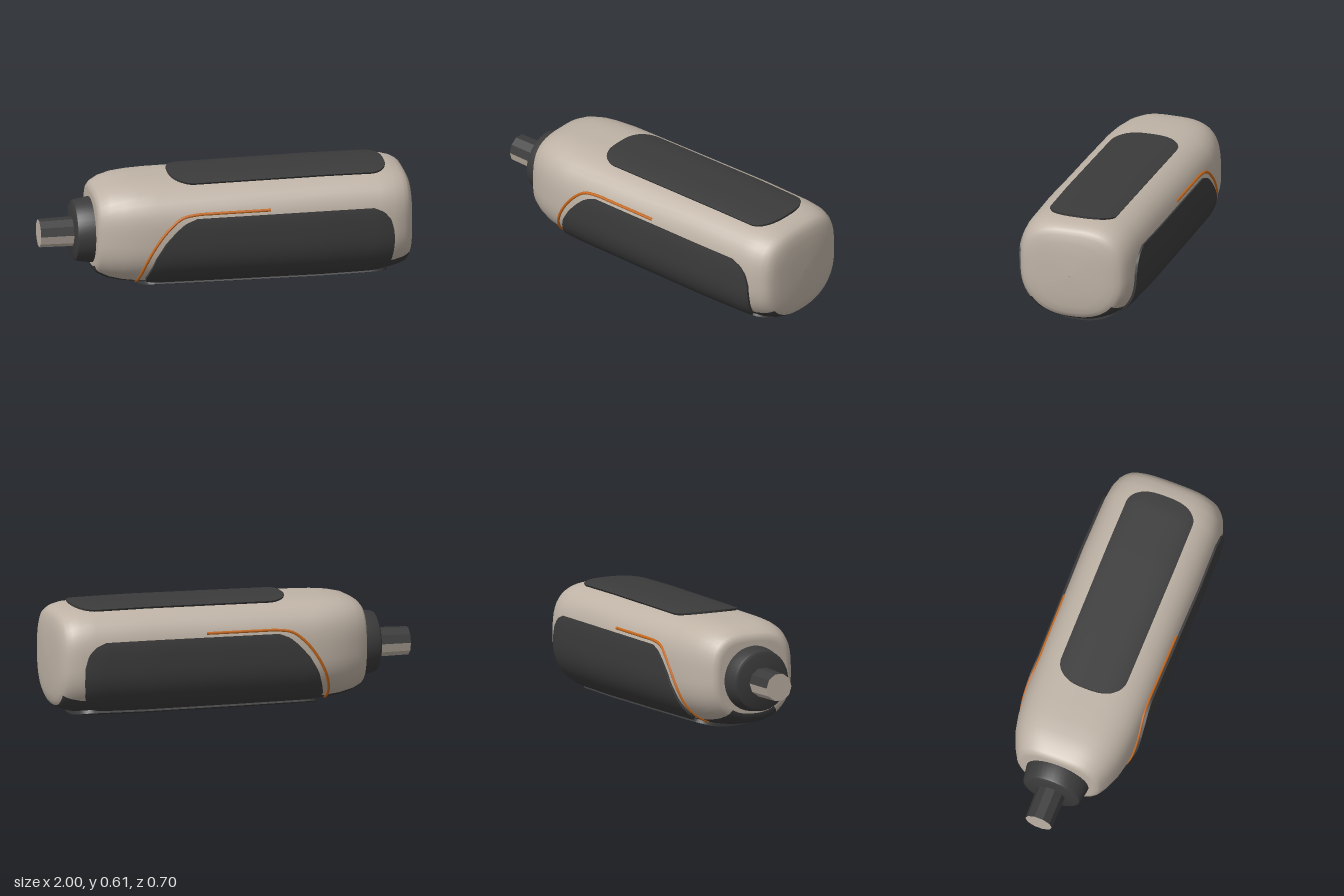
import * as THREE from 'three';
import { toCreasedNormals } from 'three/addons/utils/BufferGeometryUtils.js';

const CY = 0.31; // height of the long axis

// Body sections: x, half width, height above the axis, depth below it
const SECTIONS = [
  [-0.721, 0.001, 0.001, 0.001], [-0.72, 0.2, 0.2, 0.19], [-0.715, 0.222, 0.225, 0.212],
  [-0.7, 0.24, 0.242, 0.228], [-0.65, 0.268, 0.267, 0.252], [-0.58, 0.296, 0.281, 0.267],
  [-0.5, 0.313, 0.287, 0.276], [-0.4, 0.325, 0.289, 0.281], [0, 0.33, 0.292, 0.285],
  [0.5, 0.336, 0.295, 0.288], [0.8, 0.33, 0.292, 0.285], [0.88, 0.32, 0.287, 0.279],
  [0.93, 0.303, 0.275, 0.267], [0.955, 0.286, 0.262, 0.256], [0.97, 0.27, 0.25, 0.245],
  [0.983, 0.24, 0.225, 0.22], [0.992, 0.19, 0.18, 0.18], [0.998, 0.11, 0.11, 0.11],
  [1, 0.001, 0.001, 0.001],
];
const DARK_END = 14; // last section of the dark underside

// Linear lookup in rows whose first entry is the key
function lookup(table, k, col) {
  let i = 0;
  while (i < table.length - 2 && k > table[i + 1][0]) i++;
  const [p, q] = [table[i], table[i + 1]];
  const f = THREE.MathUtils.clamp((k - p[0]) / (q[0] - p[0]), 0, 1);
  return p[col] + (q[col] - p[col]) * f;
}

// Squarish section: phi = 0 is up, PI / 2 is +z
function sectionPoint(x, a, top, bottom, phi, offset) {
  const c = Math.cos(phi), s = Math.sin(phi);
  const n = c > 0 ? 3.2 : 2.4, b = c > 0 ? top : bottom;
  const r = Math.pow(Math.abs(c / b) ** n + Math.abs(s / a) ** n, -1 / n) + offset;
  return new THREE.Vector3(x, CY + r * c, r * s);
}
const surface = (x, phi, offset) => sectionPoint(
  x, lookup(SECTIONS, x, 1), lookup(SECTIONS, x, 2), lookup(SECTIONS, x, 3), phi, offset);

function indexed(points, index) {
  const g = new THREE.BufferGeometry().setFromPoints(points);
  g.setIndex(index);
  g.computeVertexNormals();
  return g;
}

// Housing: lofted shell, with the underside sector in a second material group
function bodyGeometry() {
  const UP = 48, N = 72, points = [], light = [], dark = [];
  SECTIONS.forEach(([x, a, t, b]) => {
    const edge = THREE.MathUtils.lerp(2.48, 2.19, THREE.MathUtils.smoothstep(x, -0.4, 0.7));
    for (let j = 0; j < N; j++) {
      const phi = j <= UP ? -edge + 2 * edge * j / UP
        : edge + (2 * Math.PI - 2 * edge) * (j - UP) / (N - UP);
      points.push(sectionPoint(x, a, t, b, phi, 0));
    }
  });
  for (let i = 0; i < SECTIONS.length - 1; i++) {
    for (let j = 0; j < N; j++) {
      const k = (j + 1) % N, p = i * N, q = p + N;
      const list = j >= UP && i > 0 && i < DARK_END ? dark : light;
      list.push(p + j, p + k, q + j, p + k, q + k, q + j);
    }
  }
  const g = indexed(points, [...light, ...dark]);
  g.addGroup(0, light.length, 0);
  g.addGroup(light.length, dark.length, 1);
  return g;
}

// Raised pad following the body, with its rim turned down into the shell
function padGeometry(phi0, phi1, xStart, xEnd, offset) {
  const NU = 32, NV = 30, W = NU + 3, points = [], index = [];
  for (let j = -1; j <= NV + 1; j++) {
    const v = THREE.MathUtils.clamp(j / NV, 0, 1);
    const t = (1 - Math.cos(Math.PI * v)) / 2;
    for (let i = -1; i <= NU + 1; i++) {
      const u = THREE.MathUtils.clamp(i / NU, 0, 1);
      const rim = i < 0 || j < 0 || i > NU || j > NV;
      const x = THREE.MathUtils.lerp(xStart(t), xEnd(t), u);
      points.push(surface(x, THREE.MathUtils.lerp(phi0, phi1, t), rim ? -0.012 : offset));
    }
  }
  for (let j = 0; j < NV + 2; j++) {
    for (let i = 0; i < NU + 2; i++) {
      const p = j * W + i, q = p + W;
      index.push(p, q, p + 1, q, q + 1, p + 1);
    }
  }
  return toCreasedNormals(indexed(points, index), 0.6);
}

// Side pad ends from top edge (0) to bottom edge (1): t, front x, rear x
const SIDE_ENDS = [
  [0, -0.2, 0.76], [0.05, -0.26, 0.815], [0.14, -0.31, 0.852], [0.29, -0.37, 0.87],
  [0.48, -0.42, 0.872], [0.7, -0.45, 0.862], [0.85, -0.465, 0.84], [0.94, -0.455, 0.805],
  [1, -0.41, 0.75],
];
// Trim path: x, phi
const TRIM = [
  [-0.5, 2.6], [-0.5, 2.4], [-0.49, 2.15], [-0.465, 1.88], [-0.425, 1.63], [-0.36, 1.36],
  [-0.28, 1.17], [-0.2, 1.125], [-0.1, 1.12], [0.05, 1.12], [0.2, 1.12],
];

export function createModel() {
  const model = new THREE.Group();
  model.name = 'handheldDriver';
  const mat = (name, color) => {
    const m = new THREE.MeshStandardMaterial({ color });
    m.name = name;
    return m;
  };
  const beige = mat('warm beige', 0xbfb3a6);
  const charcoal = mat('charcoal', 0x3b3b3b);
  const orange = mat('orange', 0xc8691c);
  const add = (name, geometry, material) => {
    const mesh = new THREE.Mesh(geometry, material);
    mesh.name = name;
    model.add(mesh);
    return mesh;
  };

  add('housing', bodyGeometry(), [beige, charcoal]);

  // Top and bottom pads with rounded ends
  const bulge = (t) => Math.sqrt(Math.max(0, 1 - Math.abs(2 * t - 1) ** 3));
  add('topPad', padGeometry(-0.584, 0.584,
    (t) => -0.18 - 0.12 * bulge(t), (t) => 0.77 + 0.1 * bulge(t), 0.012), charcoal);
  add('bottomPad', padGeometry(2.545, 2 * Math.PI - 2.545,
    (t) => -0.4 - 0.08 * bulge(t), (t) => 0.78 + 0.1 * bulge(t), 0.02), charcoal);

  // Side grips and the trim line around their front edge
  for (const side of [1, -1]) {
    const label = side > 0 ? 'front' : 'back';
    const at = (col) => (t) => lookup(SIDE_ENDS, side > 0 ? t : 1 - t, col);
    const [p0, p1] = side > 0 ? [1.188, 2.498] : [-2.498, -1.188];
    add(label + 'Grip', padGeometry(p0, p1, at(1), at(2), 0.013), charcoal);
    const path = new THREE.CatmullRomCurve3(
      TRIM.map(([x, phi]) => surface(x, side * phi, 0.001)));
    add(label + 'Trim', new THREE.TubeGeometry(path, 60, 0.008, 8), orange);
  }

  // Collar around the spindle
  const collarProfile = [[0.001, 0.82], [0.145, 0.82], [0.16, 0.812], [0.165, 0.8],
    [0.176, 0.73], [0.178, 0.7]].map(([r, h]) => new THREE.Vector2(r, h)).reverse();
  const collar = add('collar',
    toCreasedNormals(new THREE.LatheGeometry(collarProfile, 40), 0.6), charcoal);
  collar.rotation.z = Math.PI / 2;
  collar.position.y = CY;

  // Spindle: light upper half, dark lower half, light end face
  for (const [name, start, material] of [
    ['spindleTop', Math.PI, beige], ['spindleUnderside', 0, charcoal]]) {
    const half = add(name, toCreasedNormals(
      new THREE.CylinderGeometry(0.076, 0.08, 0.2, 5, 1, true, start, Math.PI), 0.3), material);
    half.rotation.z = Math.PI / 2;
    half.position.set(-0.9, 0.305, 0);
  }
  const tip = add('spindleTip', new THREE.CircleGeometry(0.076, 10), beige);
  tip.rotation.y = -Math.PI / 2;
  tip.position.set(-1, 0.305, 0);

  return model;
}
